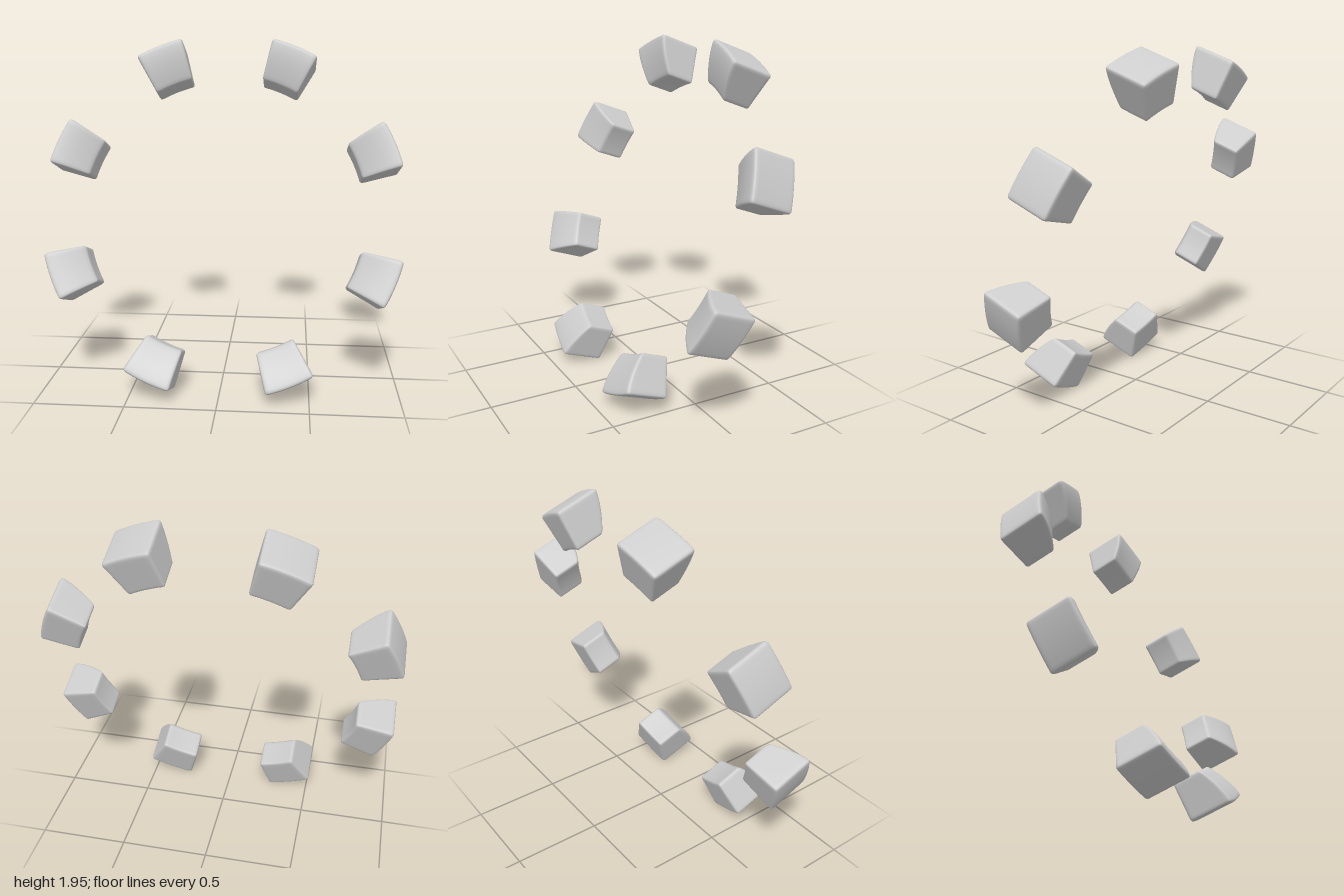
import * as THREE from 'three';
import { mergeVertices } from 'three/addons/utils/BufferGeometryUtils.js';

const INNER = 0.807, OUTER = 1.035;          // ring radii
const HALF_ANGLE = THREE.MathUtils.degToRad(7.8);
const HALF_DEPTH = 0.127, ROUND = 0.018, COUNT = 8;

// Rounded box bent into a ring segment; its front slopes back towards the inner radius
function segmentGeometry() {
  const mid = (INNER + OUTER) / 2;
  const half = new THREE.Vector3((OUTER - INNER) / 2, HALF_ANGLE * mid, HALF_DEPTH);
  const core = half.clone().subScalar(ROUND);
  let geo = new THREE.BoxGeometry(2, 2, 2, 18, 18, 18);
  const pos = geo.attributes.position;
  const p = new THREE.Vector3(), c = new THREE.Vector3();
  const spread = t => Math.sin(t * Math.PI / 2);   // denser grid near the edges
  for (let i = 0; i < pos.count; i++) {
    p.fromBufferAttribute(pos, i);
    p.set(spread(p.x), spread(p.y), spread(p.z)).multiply(half);
    // round the edges
    c.copy(p).clamp(core.clone().negate(), core);
    p.sub(c).setLength(ROUND).add(c);
    // bend around the ring and slope the front
    const r = mid + p.x, a = p.y / mid;
    const s = Math.max(0, (OUTER - r) / (OUTER - INNER));
    const front = HALF_DEPTH - 0.085 * Math.pow(s, 1.6);
    const w = THREE.MathUtils.mapLinear(p.z, -HALF_DEPTH, HALF_DEPTH, -HALF_DEPTH, front);
    pos.setXYZ(i, r * Math.cos(a), r * Math.sin(a), w);
  }
  geo.deleteAttribute('uv');
  geo.deleteAttribute('normal');
  geo = mergeVertices(geo, 1e-5);
  geo.computeVertexNormals();
  return geo;
}

export function createModel() {
  const model = new THREE.Group();
  const material = new THREE.MeshStandardMaterial({ color: 0xcccccc });
  const geometry = segmentGeometry();

  // Ring of blocks, leaning backwards
  const ring = new THREE.Group();
  ring.name = 'blockRing';
  for (let i = 0; i < COUNT; i++) {
    const block = new THREE.Mesh(geometry, material);
    block.name = `ringBlock${i + 1}`;
    block.rotation.z = (i + 0.5) * 2 * Math.PI / COUNT;
    ring.add(block);
  }
  ring.rotation.x = THREE.MathUtils.degToRad(-20);
  ring.position.y = 0.98;
  model.add(ring);
  return model;
}
